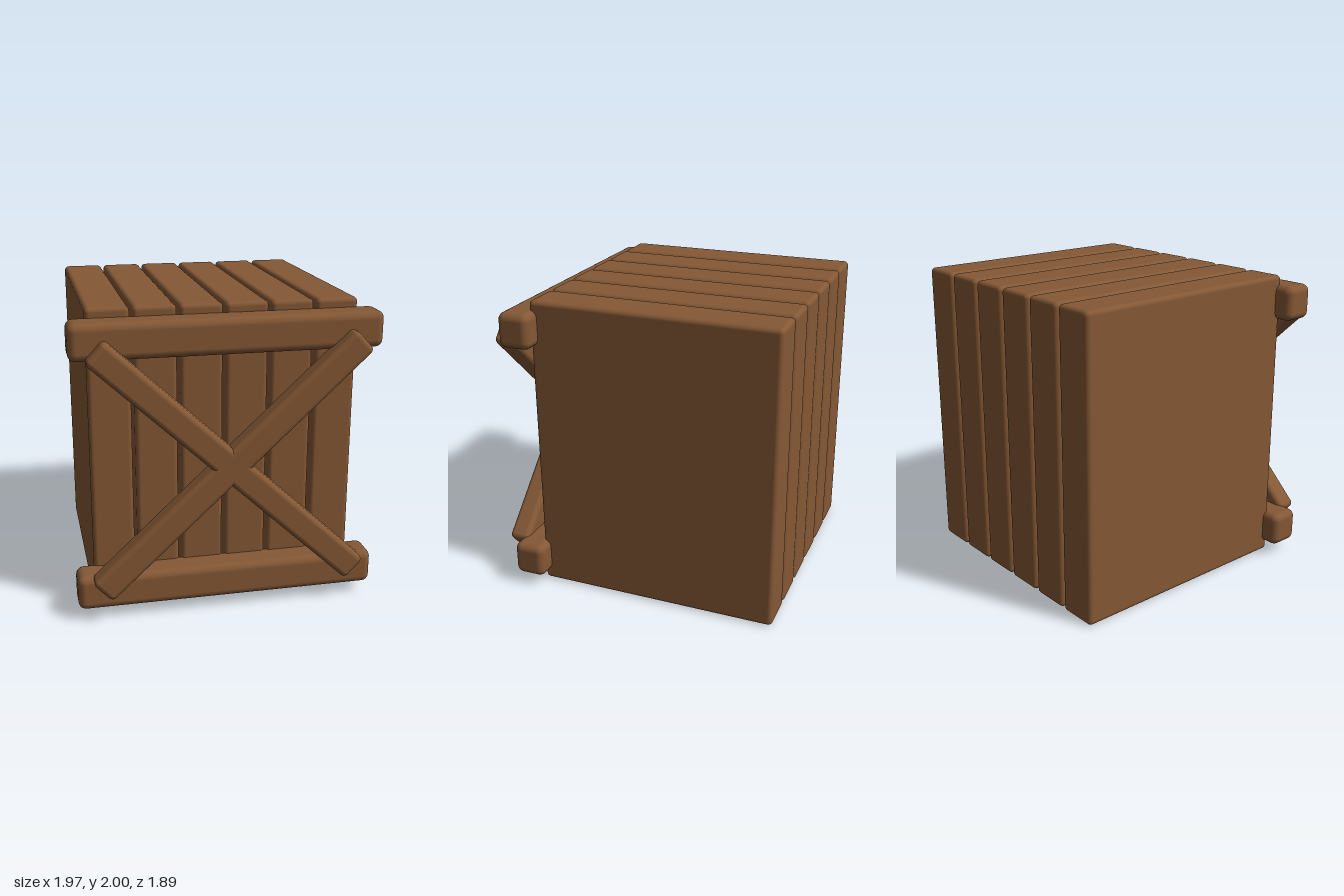
import * as THREE from 'three';
import { RoundedBoxGeometry } from 'three/addons/geometries/RoundedBoxGeometry.js';

export function createModel() {
  const group = new THREE.Group();
  const wood = new THREE.MeshStandardMaterial({ color: 0x845835 });
  wood.name = 'brown wood';

  // One rounded timber
  function timber(name, size, radius, position, tilt = 0) {
    const mesh = new THREE.Mesh(new RoundedBoxGeometry(...size, 3, radius), wood);
    mesh.name = name;
    mesh.position.set(...position);
    mesh.rotation.z = tilt;
    group.add(mesh);
  }

  // Six deep upright planks with narrow open gaps
  for (let i = 0; i < 6; i++) {
    timber(`plank${i + 1}`, [0.272, 2, 1.635], 0.03, [-0.0025 + (i - 2.5) * 0.29, 1, -0.1275]);
  }

  // Horizontal rails across the front
  timber('bottomRail', [1.965, 0.232, 0.217], 0.05, [0, 0.186, 0.7465]);
  timber('topRail', [1.965, 0.232, 0.217], 0.05, [0, 1.822, 0.7465]);

  // Crossed braces over the rails
  const angle = THREE.MathUtils.degToRad(43);
  for (const side of [-1, 1]) {
    timber(side < 0 ? 'fallingBrace' : 'risingBrace', [2.28, 0.18, 0.145], 0.035, [0, 1.003, 0.8725], side * angle);
  }

  return group;
}
